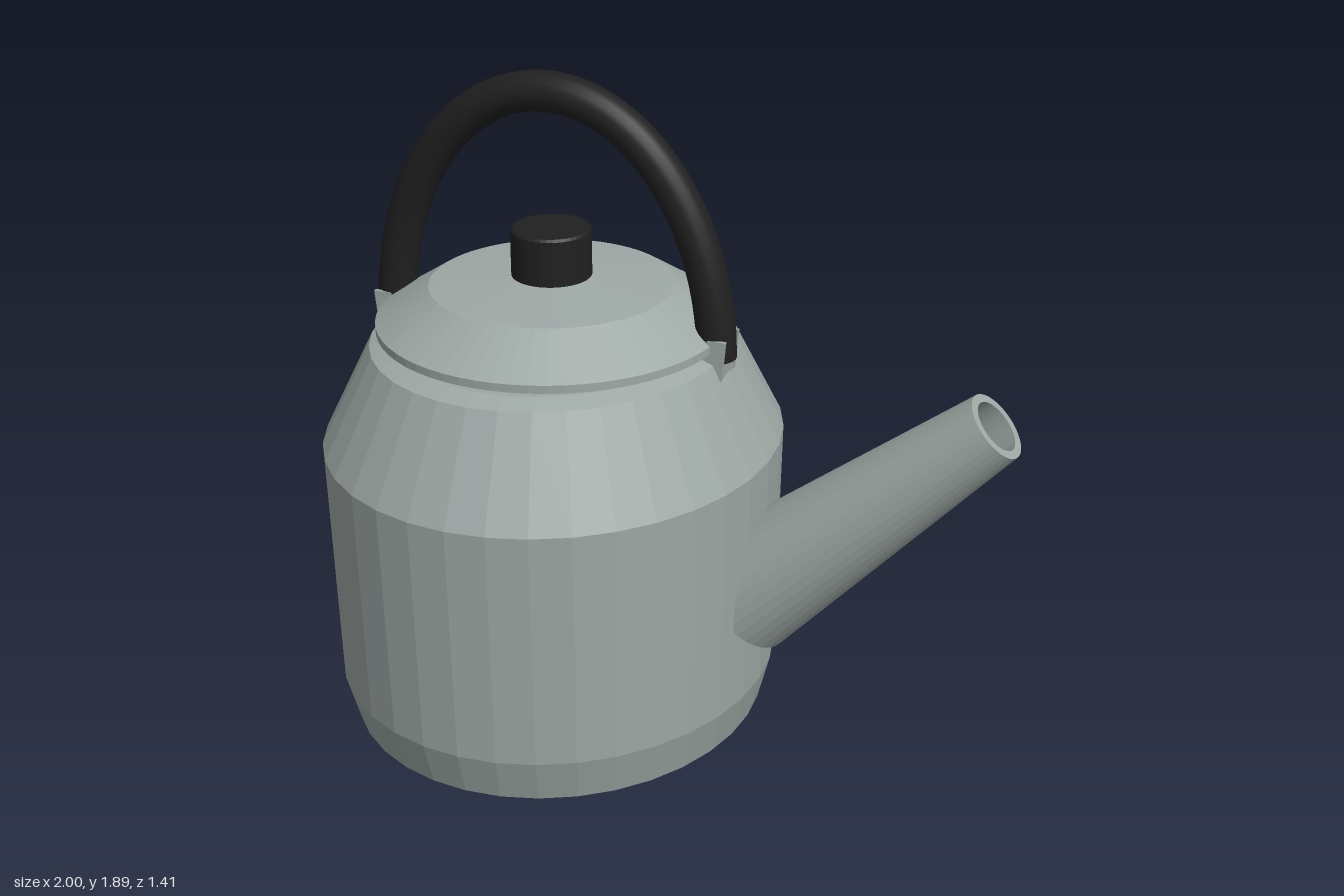
import * as THREE from 'three';

const CX = -0.35; // axis of the pot

// faceted normals
function flat(geometry) {
  const g = geometry.toNonIndexed();
  g.computeVertexNormals();
  return g;
}

function lathe(points, segments) {
  return flat(new THREE.LatheGeometry(points.map(([r, y]) => new THREE.Vector2(r, y)), segments));
}

export function createModel() {
  const model = new THREE.Group();
  const metal = new THREE.MeshStandardMaterial({ color: 0x9ea8a5 });
  metal.name = 'greyMetal';
  const black = new THREE.MeshStandardMaterial({ color: 0x202020 });
  black.name = 'blackPlastic';

  const add = (name, geometry, material, x = 0, y = 0, z = 0) => {
    const mesh = new THREE.Mesh(geometry, material);
    mesh.name = name;
    mesh.position.set(x, y, z);
    model.add(mesh);
    return mesh;
  };

  // Slightly oval body with a sloping shoulder
  const body = add('body', lathe([
    [0, 0], [0.602, 0], [0.636, 0.135], [0.65, 0.84], [0.507, 1.13], [0.455, 1.15], [0, 1.15],
  ], 36), metal, CX);
  body.scale.z = 1.085;

  // Lid with a thin brim and a plug below it
  add('lid', lathe([
    [0, 1.14], [0.45, 1.14], [0.45, 1.162], [0.497, 1.162], [0.497, 1.185],
    [0.345, 1.283], [0, 1.312],
  ], 64), metal, CX);

  // Lid knob
  add('knob', lathe([
    [0, 0], [0.113, 0], [0.113, 0.13], [0.107, 0.137], [0, 0.137],
  ], 40), black, CX, 1.308);

  // Hollow tapered spout, leaning outward
  const base = new THREE.Vector2(0.232, 0.418);
  const tip = new THREE.Vector2(0.93, 1.057);
  const length = base.distanceTo(tip);
  const spout = add('spout', lathe([
    [0, 0], [0.185, 0], [0.099, length], [0.075, length], [0.155, 0.04], [0, 0.04],
  ], 36), metal, base.x, base.y);
  spout.rotation.z = -Math.atan2(tip.x - base.x, tip.y - base.y);

  // Arched handle
  const arc = [];
  for (let i = 0; i <= 24; i++) {
    const a = Math.PI * (1 - i / 24);
    arc.push(new THREE.Vector3(0.492 * Math.cos(a), 1.13 + 0.7 * Math.sin(a), 0));
  }
  add('handle', new THREE.TubeGeometry(new THREE.CatmullRomCurve3(arc), 72, 0.056, 20), black, CX);

  for (const side of [-1, 1]) {
    const label = side > 0 ? 'left' : 'right';
    const end = add(label + 'HandleEnd', new THREE.CircleGeometry(0.056, 20), black, CX + side * 0.492, 1.13);
    end.rotation.x = Math.PI / 2;

    // Forked bracket: two cheeks and a web joining them to the shoulder
    const bracket = new THREE.Group();
    bracket.name = label + 'Bracket';
    bracket.position.x = CX;
    bracket.rotation.y = side > 0 ? 0 : Math.PI;
    const cheek = new THREE.Shape([
      [0.485, 1.2], [0.44, 1.12], [0.5, 1.08], [0.525, 1.08], [0.537, 1.2],
    ].map(([x, y]) => new THREE.Vector2(x, y)));
    for (const z of [-0.058, 0.046]) {
      const plate = new THREE.Mesh(
        new THREE.ExtrudeGeometry(cheek, { depth: 0.012, bevelEnabled: false }), metal);
      plate.name = 'bracketCheek';
      plate.position.z = z;
      bracket.add(plate);
    }
    const web = new THREE.Mesh(new THREE.BoxGeometry(0.035, 0.05, 0.116), metal);
    web.name = 'bracketWeb';
    web.position.set(0.508, 1.105, 0);
    bracket.add(web);
    model.add(bracket);
  }

  return model;
}
